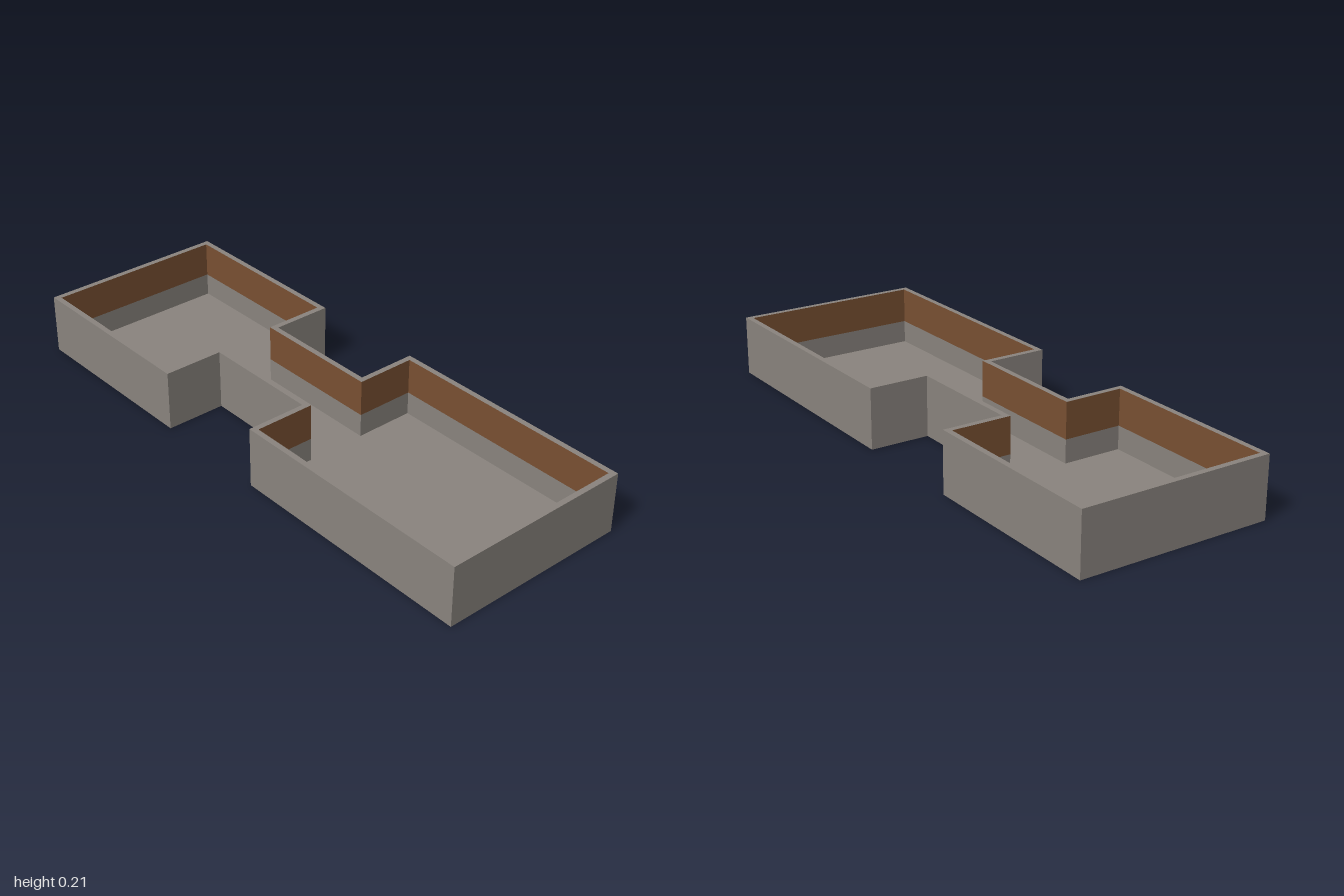
import * as THREE from 'three';

const HEIGHT = 0.212, WALL = 0.02, BAND = 0.085, FLOOR = 0.003;

// Floor plan of two rooms joined by a corridor, shrunk by the inset d
function outline(d) {
  const h = 0.34 - d, c = 0.127 - d;
  const x0 = -1 + d, x1 = -0.32 - d, x2 = 0.107 + d, x3 = 1 - d;
  return [
    [x0, -h], [x1, -h], [x1, -c], [x2, -c], [x2, -h], [x3, -h],
    [x3, h], [x2, h], [x2, c], [x1, c], [x1, h], [x0, h],
  ].map(([x, y]) => new THREE.Vector2(x, y));
}

// Vertical faces along a closed outline, facing outward or inward
function wallFaces(points, y0, y1, inward) {
  const pos = [];
  points.forEach((p, i) => {
    const q = points[(i + 1) % points.length];
    const [a, b] = inward ? [q, p] : [p, q];
    pos.push(a.x, y0, -a.y, b.x, y0, -b.y, b.x, y1, -b.y);
    pos.push(a.x, y0, -a.y, b.x, y1, -b.y, a.x, y1, -a.y);
  });
  const geo = new THREE.BufferGeometry();
  geo.setAttribute('position', new THREE.Float32BufferAttribute(pos, 3));
  geo.computeVertexNormals();
  return geo;
}

// Horizontal face filling an outline, with an optional hole
function flatFace(points, y, hole, down) {
  const shape = new THREE.Shape(points);
  if (hole) shape.holes.push(new THREE.Path(hole));
  return new THREE.ShapeGeometry(shape)
    .rotateX(down ? Math.PI / 2 : -Math.PI / 2)
    .translate(0, y, 0);
}

export function createModel() {
  const stone = new THREE.MeshStandardMaterial({ color: 0x8a847e });
  stone.name = 'stone grey';
  const wood = new THREE.MeshStandardMaterial({ color: 0x795032 });
  wood.name = 'wood brown';

  const model = new THREE.Group();
  model.name = 'roomShell';
  const add = (name, geo, mat) => {
    const mesh = new THREE.Mesh(geo, mat);
    mesh.name = name;
    model.add(mesh);
  };

  const outer = outline(0), inner = outline(WALL);
  add('outerWall', wallFaces(outer, 0, HEIGHT, false), stone);
  add('wallTop', flatFace(outer, HEIGHT, inner), stone);
  // Inner walls: grey below, brown panelling above
  add('innerWallBase', wallFaces(inner, FLOOR, BAND, true), stone);
  add('innerWallPanelling', wallFaces(inner, BAND, HEIGHT, true), wood);
  add('floor', flatFace(inner, FLOOR), stone);
  add('underside', flatFace(outer, 0, null, true), stone);
  return model;
}
